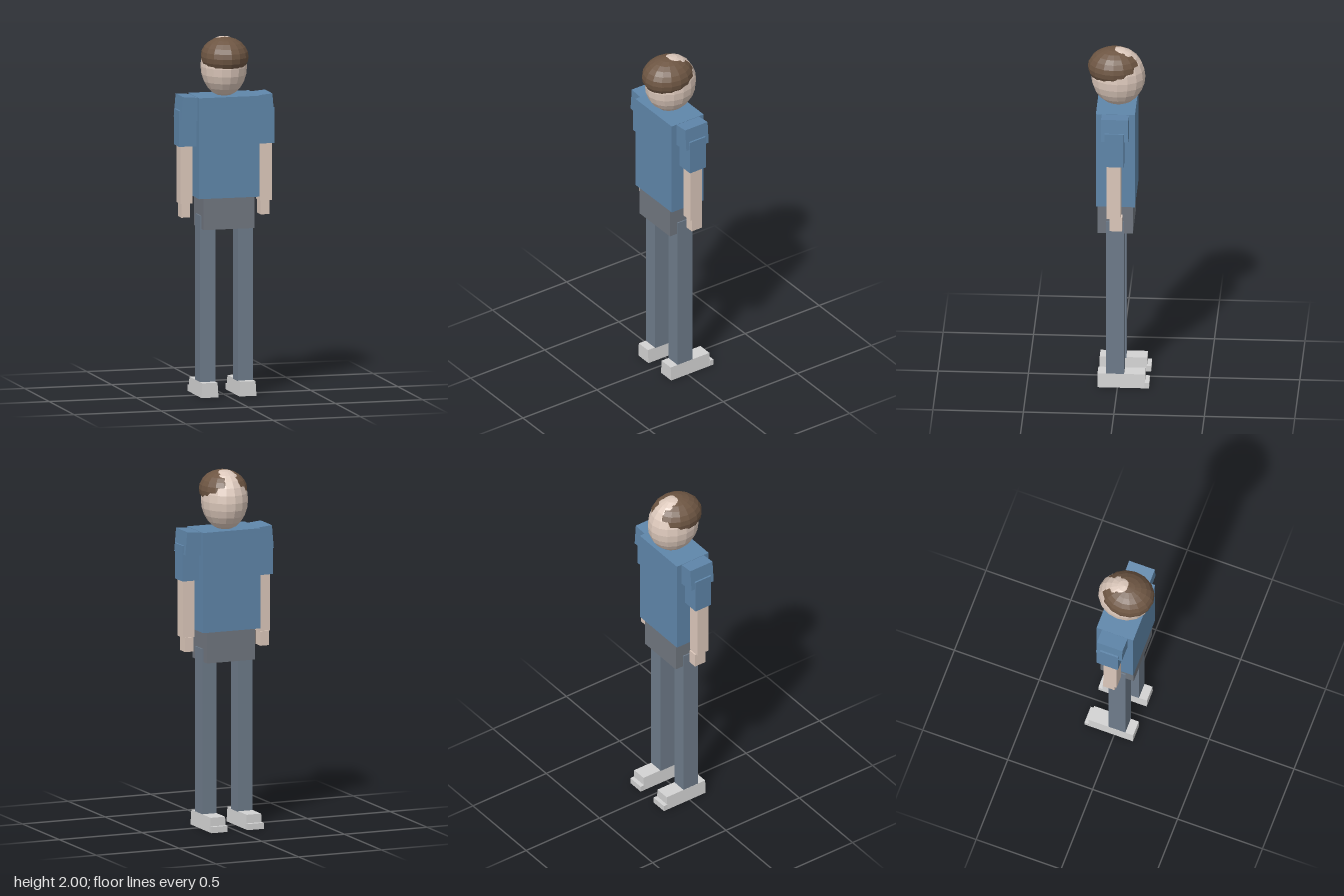
import * as THREE from 'three';

const mat = (name, color, flatShading = false) => {
  const m = new THREE.MeshStandardMaterial({ color, flatShading });
  m.name = name;
  return m;
};

export function createModel() {
  const skin = mat('skin', 0xdcc8bb, true);
  const hairBrown = mat('hairBrown', 0x6e5643, true);
  const shirt = mat('shirtBlue', 0x5f86aa);
  const hipGrey = mat('hipGrey', 0x70767f);
  const trouser = mat('trouserGrey', 0x6e7b8a);
  const shoe = mat('shoeGrey', 0xd2d2d2);

  const model = new THREE.Group();
  model.name = 'standingFigure';

  // Box given by its extents on each axis
  const box = (parent, name, material, [x0, x1], [y0, y1], [z0, z1]) => {
    const mesh = new THREE.Mesh(new THREE.BoxGeometry(x1 - x0, y1 - y0, z1 - z0), material);
    mesh.position.set((x0 + x1) / 2, (y0 + y1) / 2, (z0 + z1) / 2);
    mesh.name = name;
    parent.add(mesh);
    return mesh;
  };

  // Low-poly ellipsoid
  const ellipsoid = (name, material, center, radii) => {
    const geo = new THREE.SphereGeometry(1, 16, 12).scale(...radii);
    const mesh = new THREE.Mesh(geo, material);
    mesh.position.set(...center);
    mesh.name = name;
    model.add(mesh);
  };

  // Head, with the hair as a wider cap that leaves a bald crown
  ellipsoid('head', skin, [0, 1.8325, 0.0035], [0.127, 0.1675, 0.15]);
  ellipsoid('hair', hairBrown, [0, 1.89, 0.023], [0.131, 0.108, 0.149]);

  // Trunk
  box(model, 'torso', shirt, [-0.174, 0.174], [1.112, 1.675], [-0.098, 0.118]);
  box(model, 'hips', hipGrey, [-0.145, 0.145], [0.937, 1.115], [-0.085, 0.11]);

  for (const s of [1, -1]) {
    const side = s > 0 ? 'left' : 'right';
    const span = (a, b) => (s > 0 ? [a, b] : [-b, -a]);

    // Arm: tilted shoulder, sleeve, forearm and hand
    const arm = new THREE.Group();
    arm.name = side + 'Arm';
    const shoulder = box(arm, 'shoulder', shirt, span(0.132, 0.262), [1.545, 1.675], [-0.066, 0.085]);
    shoulder.rotation.z = s * 0.085;
    box(arm, 'sleeve', shirt, span(0.172, 0.273), [1.4, 1.6], [-0.042, 0.064]);
    box(arm, 'forearm', skin, span(0.193, 0.263), [1.08, 1.42], [-0.024, 0.053]);
    box(arm, 'hand', skin, span(0.202, 0.253), [1.0, 1.081], [-0.032, 0.038]);
    model.add(arm);

    // Leg
    const leg = new THREE.Group();
    leg.name = side + 'Leg';
    box(leg, 'trouserLeg', trouser, span(0.065, 0.152), [0.078, 1.01], [-0.037, 0.063]);

    // Shoe: body tapering towards the top, with a low toe
    const body = box(leg, 'shoeBody', shoe, span(0.06, 0.158), [0, 0.082], [-0.152, 0.11]);
    const p = body.geometry.attributes.position;
    for (let i = 0; i < p.count; i++) if (p.getY(i) > 0) p.setX(i, p.getX(i) * 0.89);
    body.geometry.computeVertexNormals();
    box(leg, 'shoeToe', shoe, span(0.06, 0.158), [0, 0.034], [-0.175, -0.15]);
    model.add(leg);
  }

  return model;
}
